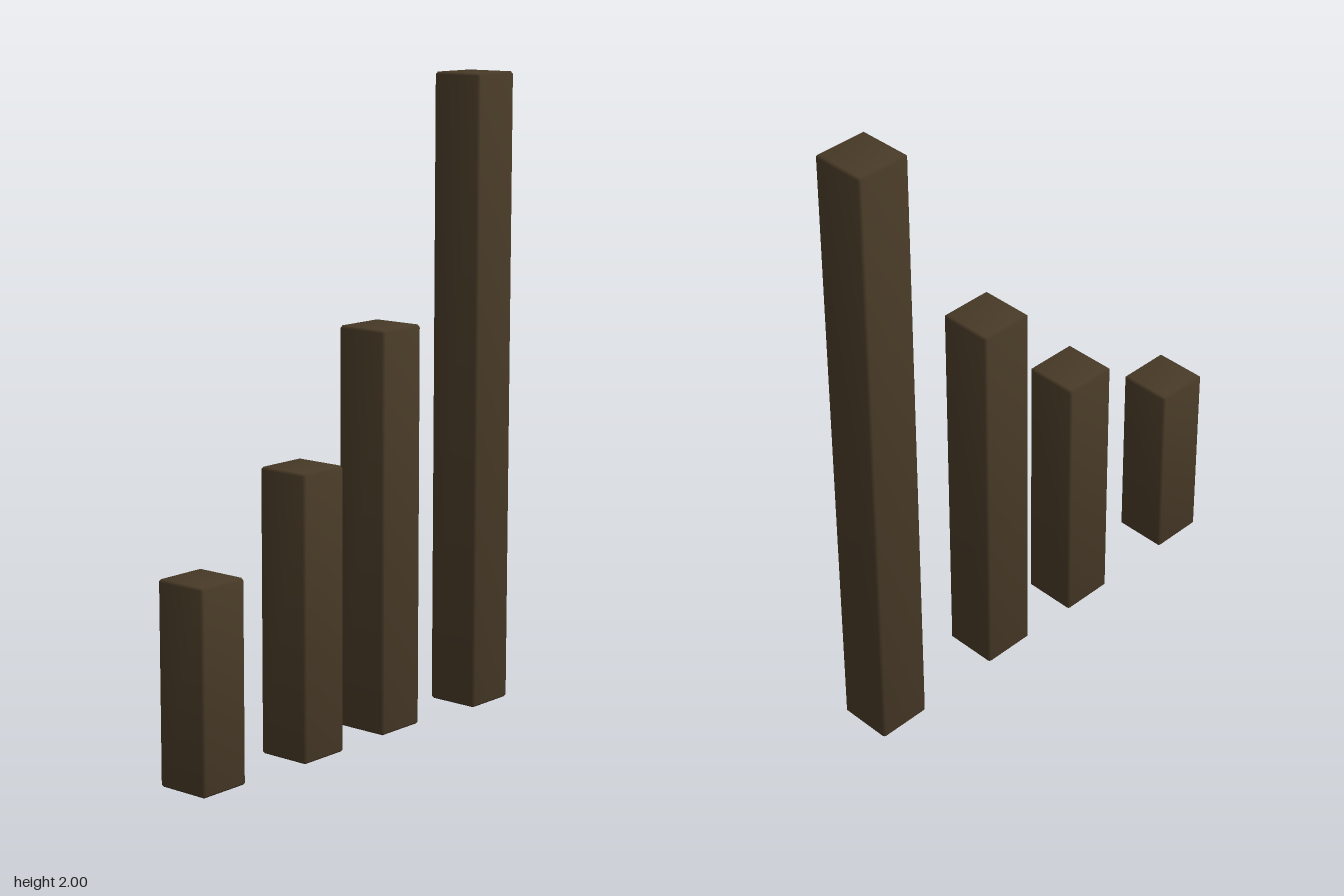
import * as THREE from 'three';
import { ConvexGeometry } from 'three/addons/geometries/ConvexGeometry.js';

const WIDTH = 0.176;
const BEVEL = 0.008;

// Post with narrow chamfers, softly shaded across its edges
function beveledPost(height) {
  const half = [WIDTH / 2, height / 2, WIDTH / 2];
  const points = [];
  for (const sx of [-1, 1]) for (const sy of [-1, 1]) for (const sz of [-1, 1]) {
    const sign = [sx, sy, sz];
    // one corner point for each of the three faces meeting here
    for (let face = 0; face < 3; face++) {
      points.push(new THREE.Vector3(
        ...sign.map((s, i) => s * (half[i] - (i === face ? 0 : BEVEL)))
      ));
    }
  }
  const geometry = new ConvexGeometry(points);
  const pos = geometry.attributes.position;
  const normal = geometry.attributes.normal;
  for (let i = 0; i < pos.count; i++) {
    const p = [pos.getX(i), pos.getY(i), pos.getZ(i)];
    // lean each face normal slightly towards its corner
    const n = new THREE.Vector3(...p.map((v, k) =>
      Math.sign(v) * (half[k] - Math.abs(v) < BEVEL / 2 ? 1 : 0.2)));
    n.normalize();
    normal.setXYZ(i, n.x, n.y, n.z);
  }
  return geometry;
}

export function createModel() {
  const group = new THREE.Group();
  group.name = 'steppedPosts';
  const wood = new THREE.MeshStandardMaterial({ color: 0x483a27 });
  wood.name = 'darkWood';

  // Posts rising from front to back: name, centre z, bottom, top
  const posts = [
    ['shortPost', 0.616, 0.015, 0.627],
    ['lowPost', 0.187, 0.01, 0.884],
    ['middlePost', -0.168, 0.014, 1.262],
    ['tallPost', -0.616, 0, 2],
  ];
  for (const [name, z, bottom, top] of posts) {
    const post = new THREE.Mesh(beveledPost(top - bottom), wood);
    post.name = name;
    post.position.set(0, (bottom + top) / 2, z);
    group.add(post);
  }
  return group;
}
